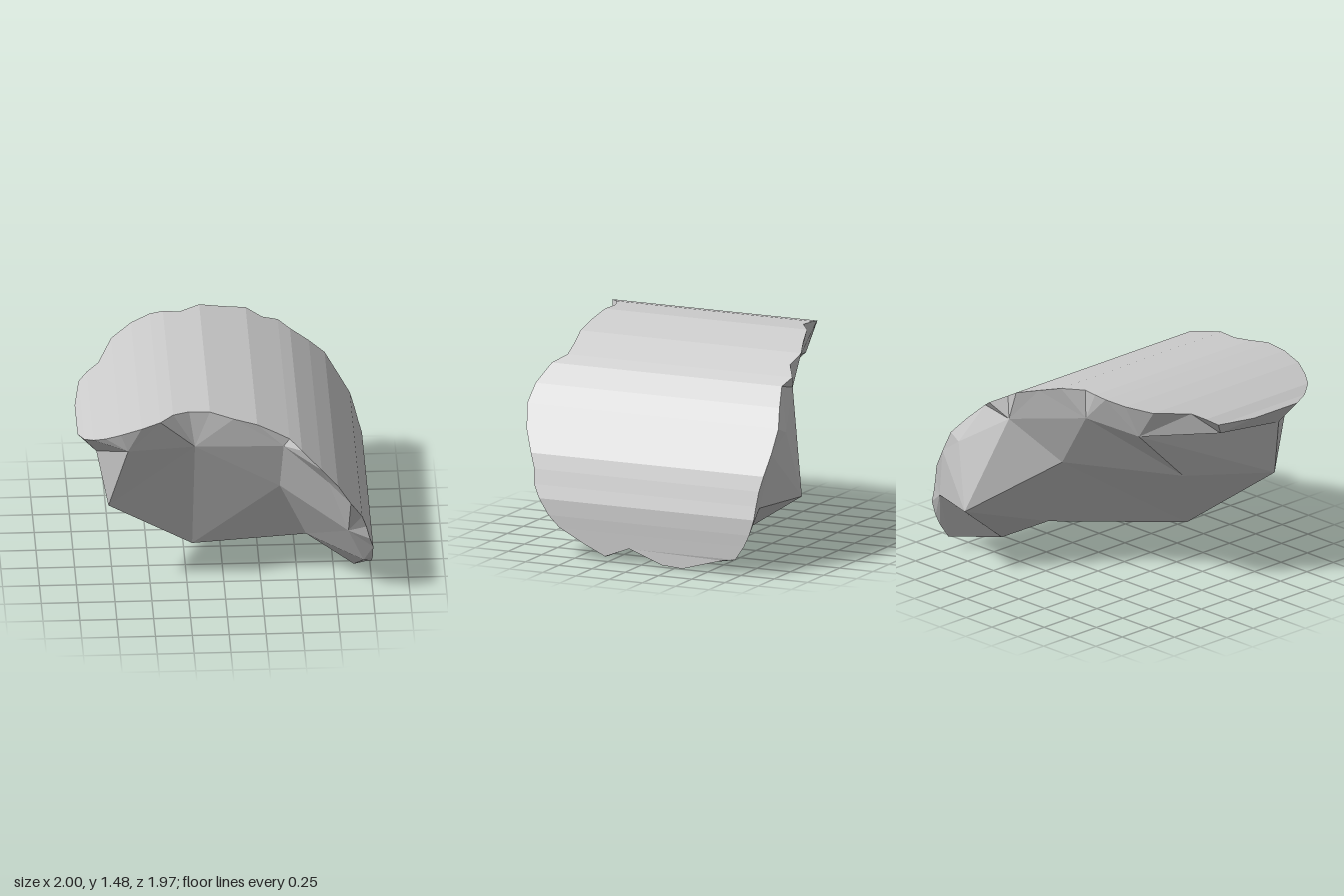
import * as THREE from 'three';

// Curved face stations: x, y, front z, back z
const STATIONS = [
  [-1, 1.25, 0.66, 0.25], [-0.96, 1.27, 0.77, -0.05], [-0.9, 1.31, 0.86, -0.11],
  [-0.82, 1.345, 0.91, -0.17], [-0.72, 1.39, 0.945, -0.43], [-0.58, 1.435, 0.95, -0.56],
  [-0.45, 1.467, 0.92, -0.62], [-0.36, 1.48, 0.84, -0.63], [-0.25, 1.48, 0.8, -0.615],
  [-0.11, 1.48, 0.81, -0.71], [0.05, 1.435, 0.835, -0.76], [0.21, 1.39, 0.84, -0.82],
  [0.32, 1.33, 0.83, -0.79], [0.43, 1.27, 0.83, -0.86], [0.51, 1.22, 0.91, -0.82],
  [0.64, 1.1, 0.97, -0.865], [0.75, 0.98, 0.98, -0.91], [0.84, 0.82, 0.94, -0.9],
  [0.92, 0.68, 0.87, -0.88], [0.95, 0.58, 0.83, -0.86], [0.975, 0.48, 0.82, -0.85],
  [1, 0.39, 0.77, -0.845], [1, 0.28, 0.7, -0.81], [0.995, 0.2, 0.62, -0.77],
  [0.99, 0.1, 0.43, -0.7],
];

// Corners of the broken rock underneath
const ROCK = {
  A: [-0.21, 1.2, 0.78], B: [-0.67, 1.25, 0.92], C: [-0.87, 1.09, 0.61], D: [-0.79, 0.69, 0.65],
  E: [-0.21, 0.24, 0.385], F: [0.37, 0.83, 0.68], G: [0.56, 0.32, 0.435], H: [0.69, 0.95, 0.87],
  I: [0.83, 0.53, 0.79], J: [0.94, 0.23, 0.66], K: [0.48, 0.23, -0.255], L: [0.89, 0.01, 0.31],
  N: [0.39, 1.21, 0.82], O: [0.66, 0.94, -0.925], P: [0.54, 0.48, -0.985], Q: [0.3, 1.17, -0.8],
  R: [0.04, 0.86, -0.55], S: [-0.24, 1.27, -0.6], T: [-0.61, 1.2, -0.46], U: [-0.57, 0.78, 0],
  W: [0.89, 0.01, -0.29], X: [-0.93, 1.19, 0], Y: [0.88, 0.11, 0.1], Z: [0.92, 0.46, -0.85],
};
const BELLY = 'BCD ABD ADE AEF FEG NAF HNF IHF IFG JIG LJG KLG GEK YLK WYK PWK PZW '
  + 'PKR KER REU EDU QOP QPR SQR SRU TSU TUD CTD CXT';
const RING = 'CBANHIJLYWZPOQSTX'; // rock corners next to the rim, in order

const vec = (p) => new THREE.Vector3(...p);

function facetedMesh(name, triangles) {
  const geometry = new THREE.BufferGeometry().setFromPoints(triangles.flat());
  geometry.computeVertexNormals();
  const material = new THREE.MeshStandardMaterial({
    color: 0xcccccc, flatShading: true, side: THREE.DoubleSide,
  });
  const mesh = new THREE.Mesh(geometry, material);
  mesh.name = name;
  return mesh;
}

// Triangles between two closed loops, always taking the shorter diagonal
function stitch(outer, inner) {
  const out = [];
  let i = 0, j = 0;
  while (i < outer.length || j < inner.length) {
    const a = outer[i % outer.length], a2 = outer[(i + 1) % outer.length];
    const b = inner[j % inner.length], b2 = inner[(j + 1) % inner.length];
    const stepOuter = j >= inner.length
      || (i < outer.length && a2.distanceTo(b) <= a.distanceTo(b2));
    if (stepOuter) { out.push([a, b, a2]); i++; }
    else { out.push([a, b, b2]); j++; }
  }
  return out;
}

export function createModel() {
  const group = new THREE.Group();
  group.name = 'brokenColumnFragment';

  const front = STATIONS.map(([x, y, z]) => vec([x, y, z]));
  const back = STATIONS.map(([x, y, , z]) => vec([x, y, z]));
  const lip = [[0.03, 0.28], [0.1, 0.1], [0.01, -0.15], [0, -0.3], [0.085, -0.6]]
    .map(([y, z]) => vec([0.985, y, z]));

  // Curved outer face, with two ragged lobes at its foot
  const shell = [];
  for (let i = 0; i < front.length - 1; i++) {
    shell.push([front[i], front[i + 1], back[i + 1]], [front[i], back[i + 1], back[i]]);
  }
  const footFront = front[front.length - 1], footBack = back[back.length - 1];
  shell.push([footFront, lip[0], lip[1]]);
  const lobe = [...lip.slice(2), footBack];
  for (let i = 0; i < lobe.length - 1; i++) shell.push([lip[1], lobe[i], lobe[i + 1]]);
  group.add(facetedMesh('curvedFace', shell));

  // Chipped border between the rim and the rock
  const corner = Object.fromEntries(Object.entries(ROCK).map(([k, p]) => [k, vec(p)]));
  const rim = [...front, ...lip, ...[...back].reverse()];
  group.add(facetedMesh('chippedBorder', stitch(rim, [...RING].map((k) => corner[k]))));

  // Broken rock faces
  const belly = BELLY.split(' ').map((face) => [...face].map((k) => corner[k]));
  group.add(facetedMesh('brokenRock', belly));
  return group;
}
